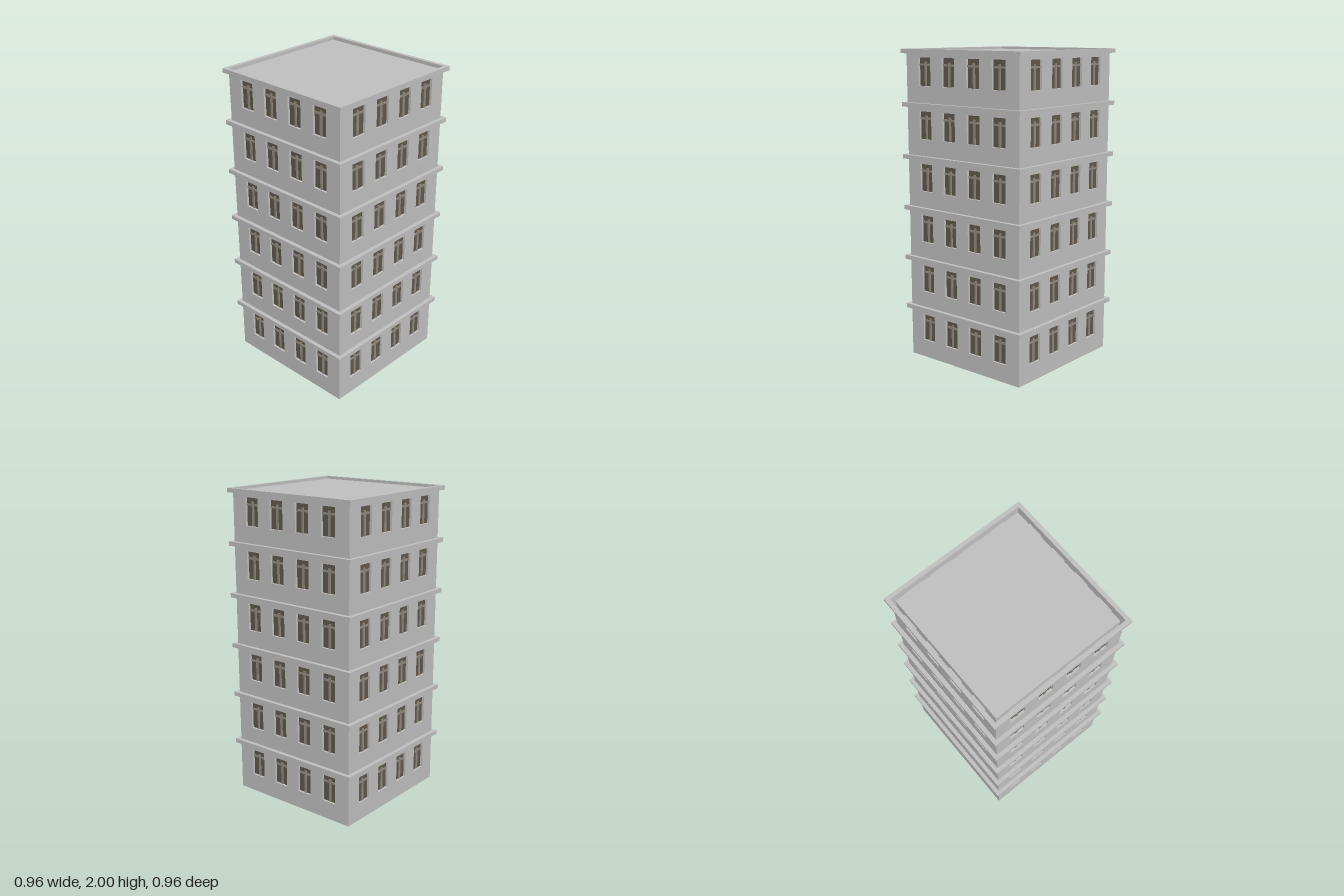
import * as THREE from 'three';
import { mergeGeometries } from 'three/addons/utils/BufferGeometryUtils.js';

const FLOORS = 6, STOREY = 0.331, WALL = 0.455, CORE = 0.436, LEDGE = 0.481;
const WIN_W = 0.102, WIN_H = 0.175, SILL = 0.115, GLASS_Z = 0.44;
const WIN_X = [-0.3, -0.1, 0.1, 0.3];

const material = (name, color, side = THREE.FrontSide) => {
  const m = new THREE.MeshStandardMaterial({ color, side });
  m.name = name;
  return m;
};

const rectPath = (path, x0, y0, x1, y1) => {
  path.moveTo(x0, y0);
  path.lineTo(x1, y0);
  path.lineTo(x1, y1);
  path.lineTo(x0, y1);
  path.closePath();
  return path;
};

const box = (w, h, d, x, y, z) => new THREE.BoxGeometry(w, h, d).translate(x, y, z);

// Four thin sides lining one window opening, from the wall back to the glass
function reveal(x, y) {
  const depth = WALL - GLASS_Z, z = (WALL + GLASS_Z) / 2;
  const parts = [];
  for (const s of [-1, 1]) {
    parts.push(new THREE.PlaneGeometry(depth, WIN_H).rotateY(-s * Math.PI / 2).translate(x + s * WIN_W / 2, y, z));
    parts.push(new THREE.PlaneGeometry(WIN_W, depth).rotateX(s * Math.PI / 2).translate(x, y + s * WIN_H / 2, z));
  }
  return parts;
}

export function createModel() {
  const stone = material('stone', 0xbfbfbf, THREE.DoubleSide);
  const glass = material('window glass', 0x5f584c);
  const trim = material('window frame', 0x918a80);

  const model = new THREE.Group();
  model.name = 'building';
  const add = (parent, name, geometry, mat) => {
    const mesh = new THREE.Mesh(geometry, mat);
    mesh.name = name;
    parent.add(mesh);
    return mesh;
  };

  // Inner core carrying the roof and the underside
  add(model, 'core', box(2 * CORE, 1.985, 2 * CORE, 0, 1.985 / 2, 0), stone);

  // One facade: thin wall with openings, linings, panes and crossbars
  const wallShape = rectPath(new THREE.Shape(), -WALL, 0, WALL, 1.98);
  const reveals = [], panes = [], bars = [];
  for (let f = 0; f < FLOORS; f++) {
    const y0 = SILL + f * 0.332;
    for (const x of WIN_X) {
      const yc = y0 + WIN_H / 2;
      wallShape.holes.push(rectPath(new THREE.Path(), x - WIN_W / 2, y0, x + WIN_W / 2, y0 + WIN_H));
      reveals.push(...reveal(x, yc));
      panes.push(new THREE.PlaneGeometry(WIN_W, WIN_H).translate(x, yc, GLASS_Z));
      bars.push(box(0.015, 0.15, 0.006, x, y0 + 0.075, GLASS_Z + 0.003));
      bars.push(box(WIN_W, 0.013, 0.005, x, y0 + 0.131, GLASS_Z + 0.0025));
    }
  }
  const wallGeo = new THREE.ShapeGeometry(wallShape).translate(0, 0, WALL);
  const revealGeo = mergeGeometries(reveals);
  const paneGeo = mergeGeometries(panes);
  const barGeo = mergeGeometries(bars);

  ['front', 'left', 'back', 'right'].forEach((side, i) => {
    const facade = new THREE.Group();
    facade.name = side + 'Facade';
    facade.rotation.y = i * Math.PI / 2;
    add(facade, 'wall', wallGeo, stone);
    add(facade, 'windowReveals', revealGeo, stone);
    add(facade, 'windowPanes', paneGeo, glass);
    add(facade, 'windowBars', barGeo, trim);
    model.add(facade);
  });

  // Projecting ledge ring on top of every storey
  const ringShape = rectPath(new THREE.Shape(), -LEDGE, -LEDGE, LEDGE, LEDGE);
  ringShape.holes.push(rectPath(new THREE.Path(), -WALL, -WALL, WALL, WALL));
  const ringGeo = new THREE.ExtrudeGeometry(ringShape, { depth: 0.027, bevelEnabled: false }).rotateX(-Math.PI / 2);
  for (let f = 0; f < FLOORS; f++) {
    add(model, 'ledge' + (f + 1), ringGeo, stone).position.y = 2 - 0.027 - (FLOORS - 1 - f) * STOREY;
  }
  return model;
}
